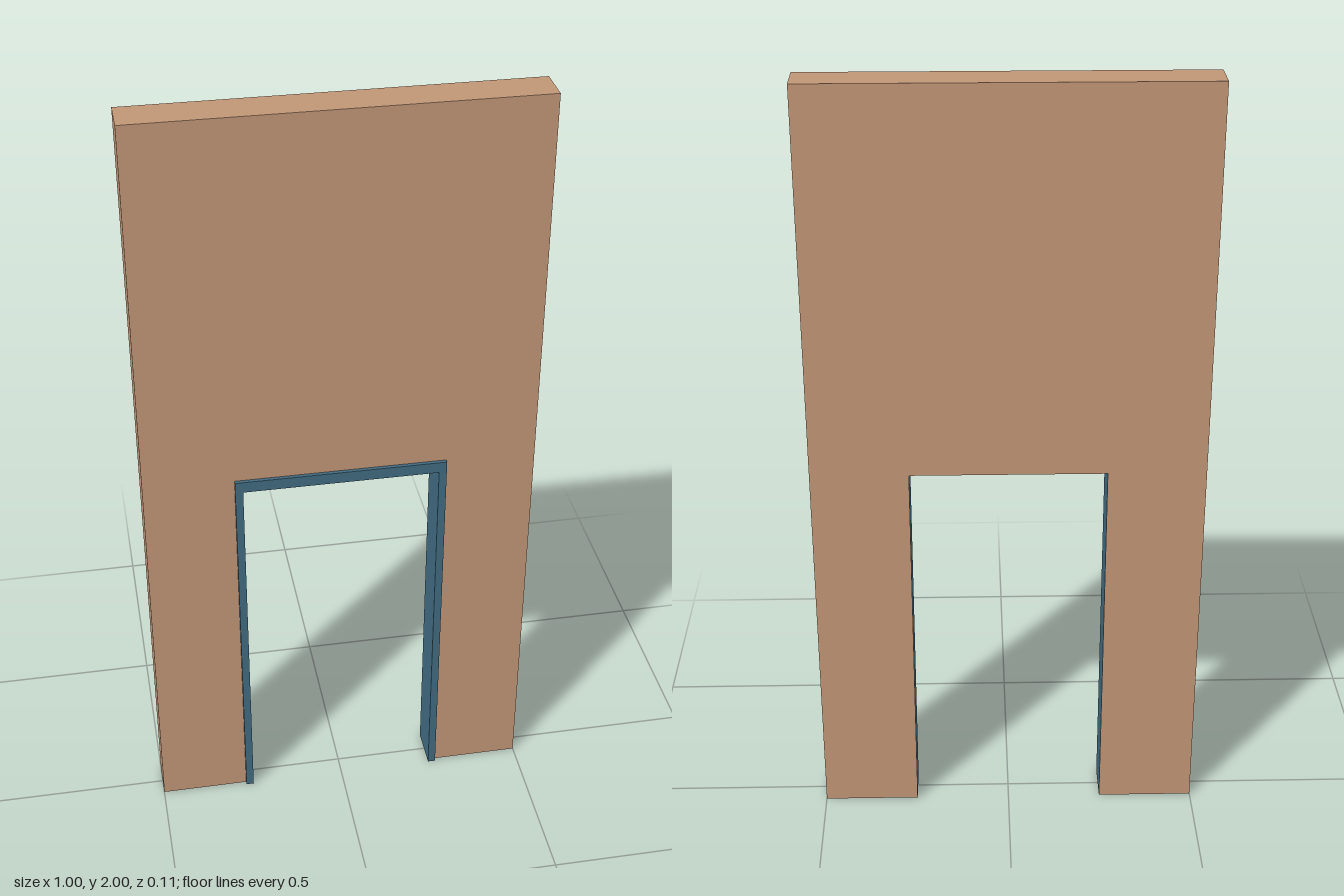
import * as THREE from 'three';

const BACK = -0.055, FACE = 0.045, FRONT = 0.055; // wall back, wall face, trim front
const HALF = 0.25, OPEN = 1.0;                    // door opening half width and height
const TRIM_W = 0.02, TRIM_H = 0.03, SKIN = 0.002; // casing widths, lining thickness

export function createModel() {
  const group = new THREE.Group();
  const wallPaint = new THREE.MeshStandardMaterial({ color: 0xc09575 });
  wallPaint.name = 'wall tan';
  const trimPaint = new THREE.MeshStandardMaterial({ color: 0x406a80 });
  trimPaint.name = 'trim blue';

  // Box between two corners; faces listed in tan (+x -x +y -y +z -z order) are wall coloured
  function addBox(name, min, max, tan) {
    const size = max.map((v, i) => v - min[i]);
    const materials = [0, 1, 2, 3, 4, 5].map(i => (tan.includes(i) ? wallPaint : trimPaint));
    const mesh = new THREE.Mesh(new THREE.BoxGeometry(...size), materials);
    mesh.position.set(...max.map((v, i) => (v + min[i]) / 2));
    mesh.name = name;
    group.add(mesh);
  }

  // Wall slab with a doorway cut up from the floor
  const w = HALF + SKIN, h = OPEN + SKIN;
  const outline = new THREE.Shape([
    [-0.5, 0], [-w, 0], [-w, h], [w, h], [w, 0], [0.5, 0], [0.5, 2], [-0.5, 2],
  ].map(p => new THREE.Vector2(...p)));
  const wallGeometry = new THREE.ExtrudeGeometry(outline, { depth: FACE - BACK, bevelEnabled: false });
  wallGeometry.translate(0, 0, BACK);
  const wall = new THREE.Mesh(wallGeometry, wallPaint);
  wall.name = 'wall';
  group.add(wall);

  // Jamb linings and front casings on both sides
  for (const [side, s] of [['left', 1], ['right', -1]]) {
    const span = width => [s * HALF, s * (HALF + width)].sort((a, b) => a - b);
    const [l0, l1] = span(SKIN);
    addBox(side + 'JambLining', [l0, 0, BACK], [l1, OPEN, FACE], [3, 5]);
    const [c0, c1] = span(TRIM_W);
    addBox(side + 'Casing', [c0, 0, FACE], [c1, OPEN, FRONT], [3]);
  }

  // Head lining and head casing
  addBox('headLining', [-w, OPEN, BACK], [w, h, FACE], [5]);
  const outer = HALF + TRIM_W;
  addBox('headCasing', [-outer, OPEN, FACE], [outer, OPEN + TRIM_H, FRONT], [0, 1]);

  return group;
}
